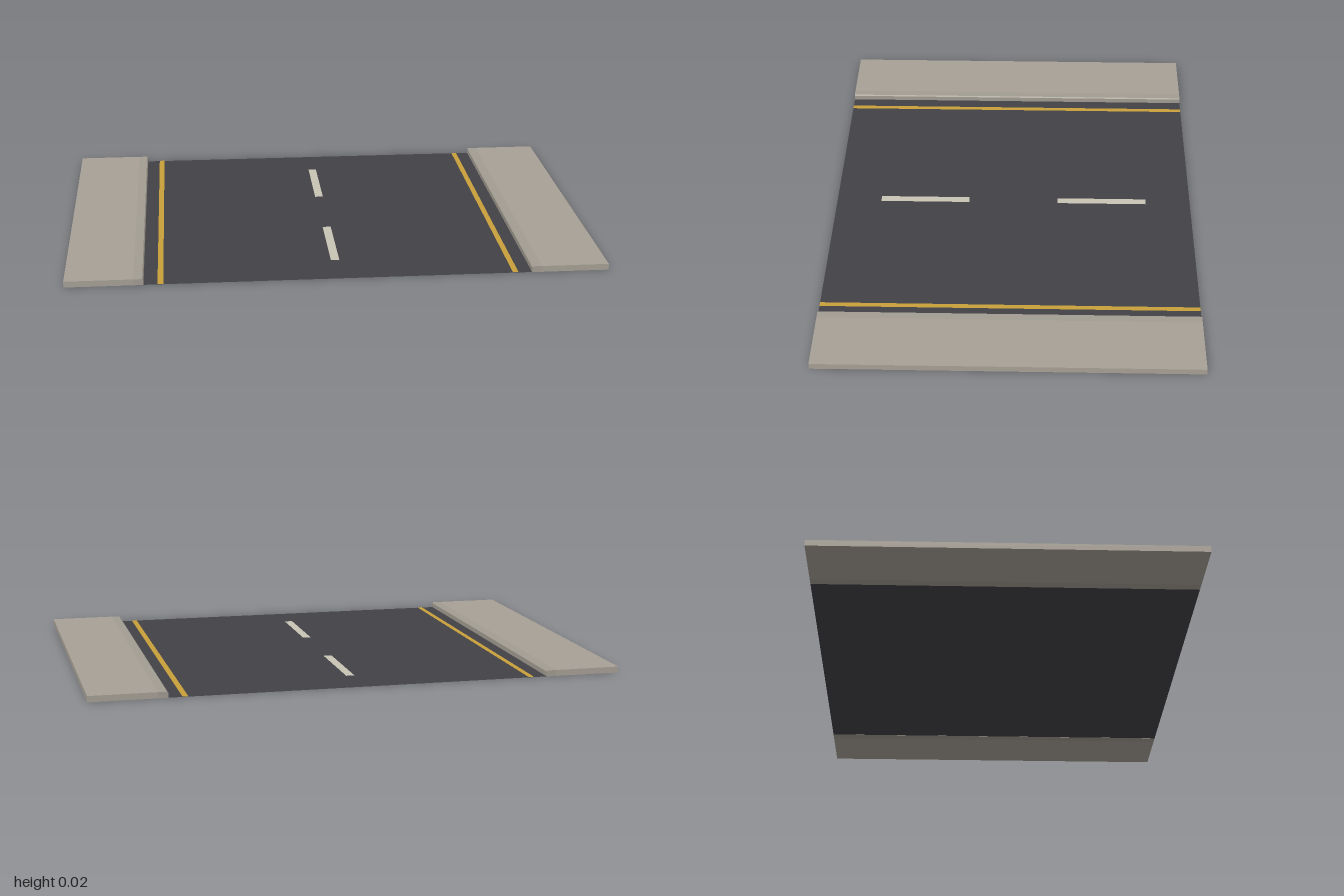
import * as THREE from 'three';

const LENGTH = 1.427;
const HEIGHT = 0.023;

export function createModel() {
  const model = new THREE.Group();
  model.name = 'roadSection';

  const paint = (name, color, options = {}) => {
    const material = new THREE.MeshStandardMaterial({ color, ...options });
    material.name = name;
    return material;
  };
  const asphalt = paint('asphalt', 0x424146, { side: THREE.DoubleSide });
  const concrete = paint('concrete', 0xa8a196);
  const kerbStone = paint('kerbStone', 0xa39d92);
  const yellowPaint = paint('yellowPaint', 0xc8a03a);
  const whitePaint = paint('whitePaint', 0xc9c5b5);

  const add = (name, geometry, material, x, y, z) => {
    const mesh = new THREE.Mesh(geometry, material);
    mesh.name = name;
    mesh.position.set(x, y, z);
    model.add(mesh);
    return mesh;
  };
  const flat = (width, length) => new THREE.PlaneGeometry(width, length).rotateX(-Math.PI / 2);

  // Thin road surface between the kerbs
  add('roadSurface', flat(1.426, LENGTH), asphalt, 0, 0.0005, 0);

  // Kerb cross-section, with a small bevel on the road side
  const kerbGeometry = (side) => {
    const profile = [[0.713, 0], [0.75, 0], [0.75, HEIGHT], [0.717, HEIGHT], [0.713, 0.019]];
    const shape = new THREE.Shape(profile.map(([x, y]) => new THREE.Vector2(side * x, y)));
    return new THREE.ExtrudeGeometry(shape, { depth: LENGTH, bevelEnabled: false })
      .translate(0, 0, -LENGTH / 2);
  };

  for (const side of [-1, 1]) {
    const label = side > 0 ? 'left' : 'right';
    add(`${label}Sidewalk`, new THREE.BoxGeometry(0.25, HEIGHT, LENGTH), concrete, side * 0.875, HEIGHT / 2, 0);
    add(`${label}Kerb`, kerbGeometry(side), kerbStone, 0, 0, 0);
    add(`${label}EdgeLine`, flat(0.021, LENGTH), yellowPaint, side * 0.652, 0.002, 0);
  }

  // Dashed centre line
  for (const z of [-0.357, 0.357]) {
    add('centreDash', flat(0.032, 0.357), whitePaint, 0, 0.002, z);
  }

  return model;
}
